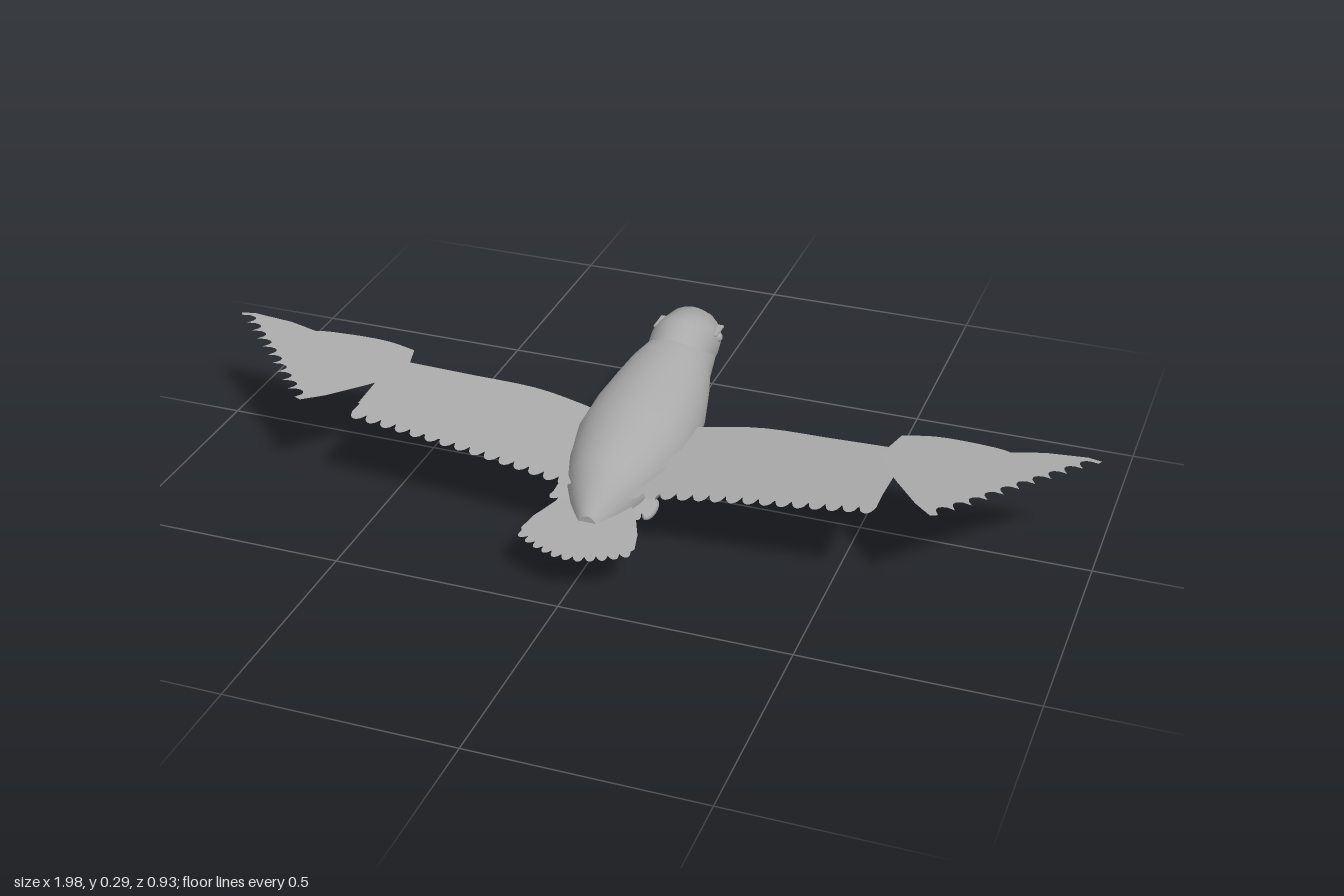
import * as THREE from 'three';

const plumage = new THREE.MeshStandardMaterial({ color: 0xaaaaaa, side: THREE.DoubleSide });
plumage.name = 'grey plumage';

function addMesh(parent, geometry, name) {
  const mesh = new THREE.Mesh(geometry, plumage);
  mesh.name = name;
  parent.add(mesh);
  return mesh;
}

// Skin over elliptical rings; each section is [topZ, topY, bottomZ, bottomY, halfWidth]
function loft(sections, sides = 32) {
  const pos = [], index = [];
  sections.forEach(([zt, yt, zb, yb, w], i) => {
    for (let j = 0; j < sides; j++) {
      const a = (j / sides) * Math.PI * 2, k = (1 - Math.cos(a)) / 2;
      pos.push(w * Math.sin(a), yt + (yb - yt) * k, zt + (zb - zt) * k);
      if (i < sections.length - 1) {
        const p = i * sides + j, q = i * sides + ((j + 1) % sides);
        index.push(p, q, p + sides, q, q + sides, p + sides);
      }
    }
  });
  const g = new THREE.BufferGeometry();
  g.setAttribute('position', new THREE.Float32BufferAttribute(pos, 3));
  g.setIndex(index);
  g.computeVertexNormals();
  return g;
}

// Thin sheet from an outline in x, z, raised by a height rule
function sheet(points, side, height) {
  const g = new THREE.ShapeGeometry(new THREE.Shape(points.map(([x, z]) => new THREE.Vector2(x * side, -z))));
  const p = g.attributes.position;
  for (let i = 0; i < p.count; i++) {
    const x = p.getX(i), z = -p.getY(i);
    p.setXYZ(i, x, height(Math.abs(x), z), z);
  }
  g.computeVertexNormals();
  return g;
}

function smooth(points, n) {
  return new THREE.SplineCurve(points.map(([x, z]) => new THREE.Vector2(x, z))).getSpacedPoints(n).map(v => [v.x, v.y]);
}

// Row of rounded feather tips along a curve, bulging to its right-hand side in x, z
function feathers(points, count, depth, lean = 0) {
  const base = smooth(points, count), out = [];
  for (let i = 0; i < count; i++) {
    const [ax, az] = base[i], [bx, bz] = base[i + 1];
    const dx = bx - ax, dz = bz - az, l = Math.hypot(dx, dz);
    for (let s = 0; s < 6; s++) {
      const t = s / 6, b = depth * Math.pow(Math.sin(Math.PI * t), 0.6), u = t + lean * Math.sin(Math.PI * t);
      out.push([ax + dx * u - (dz / l) * b, az + dz * u + (dx / l) * b]);
    }
  }
  out.push(base[count]);
  return out;
}

function wing(side) {
  const g = new THREE.Group();
  g.name = side > 0 ? 'leftWing' : 'rightWing';
  const innerY = x => 0.148 + (x - 0.1) * 0.104;
  const outerY = x => 0.203 + (x - 0.55) * 0.084;

  // Inner panel: flight feathers under a layer of coverts
  addMesh(g, sheet([
    [0.58, -0.02], [0.27, -0.05], [0.06, -0.01],
    ...feathers([[0.06, 0.25], [0.16, 0.24], [0.3, 0.23], [0.46, 0.225], [0.585, 0.22]], 15, 0.026)
  ], side, innerY), 'secondaryFeathers');
  addMesh(g, sheet([
    ...smooth([[0.06, -0.01], [0.16, -0.035], [0.27, -0.05], [0.42, -0.035], [0.57, -0.02]], 12),
    [0.59, 0.08], [0.585, 0.19],
    ...smooth([[0.55, 0.2], [0.45, 0.238], [0.25, 0.238], [0.13, 0.17], [0.06, 0.14]], 14)
  ], side, (x, z) => innerY(x) + 0.004 + Math.max(0, 0.6 - x) * 0.018), 'secondaryCoverts');

  // Outer panel: fan of long feathers with a rounded covert on top
  addMesh(g, sheet([
    [0.55, 0.045], [0.6, -0.03], [0.8, -0.045], [0.87, -0.058], [0.96, -0.056], [0.99, -0.045],
    ...feathers([[0.985, -0.035], [0.91, 0.04], [0.84, 0.11], [0.775, 0.18], [0.715, 0.235]], 10, 0.026, 0.1),
    [0.7, 0.24], [0.66, 0.2], [0.6, 0.12]
  ], side, outerY), 'primaryFeathers');
  addMesh(g, sheet([
    [0.54, 0.035],
    ...smooth([[0.565, -0.06], [0.64, -0.07], [0.74, -0.055], [0.81, -0.03], [0.84, 0.03], [0.83, 0.085],
      [0.77, 0.11], [0.7, 0.1], [0.61, 0.065], [0.545, 0.04]], 30)
  ], side, (x) => outerY(x) + 0.006), 'primaryCoverts');
  return g;
}

export function createModel() {
  const bird = new THREE.Group();
  bird.name = 'bird';

  // Torso with a flat rear end
  addMesh(bird, loft([
    [0.33, 0.09, 0.33, 0.09, 0], [0.33, 0.118, 0.33, 0.062, 0.022], [0.33, 0.118, 0.33, 0.062, 0.022],
    [0.28, 0.168, 0.28, 0.052, 0.056], [0.23, 0.205, 0.23, 0.045, 0.083], [0.16, 0.227, 0.16, 0.033, 0.105],
    [0.07, 0.25, 0.07, 0.018, 0.124], [-0.02, 0.259, -0.02, 0.026, 0.124], [-0.105, 0.266, -0.105, 0.037, 0.114],
    [-0.17, 0.27, -0.17, 0.075, 0.1], [-0.225, 0.268, -0.225, 0.105, 0.084],
    [-0.31, 0.255, -0.31, 0.137, 0.07], [-0.37, 0.225, -0.37, 0.151, 0.05], [-0.39, 0.19, -0.39, 0.18, 0]
  ]), 'body');

  // Head, set over the front of the torso
  addMesh(bird, loft([
    [-0.195, 0.27, -0.27, 0.14, 0.07], [-0.25, 0.295, -0.295, 0.135, 0.074], [-0.3, 0.287, -0.325, 0.14, 0.075],
    [-0.35, 0.279, -0.355, 0.148, 0.068], [-0.395, 0.232, -0.395, 0.157, 0.046],
    [-0.395, 0.232, -0.395, 0.157, 0.046], [-0.395, 0.195, -0.395, 0.195, 0]
  ]), 'head');

  // Hooked beak
  addMesh(bird, loft([
    [-0.385, 0.236, -0.385, 0.158, 0.036], [-0.42, 0.231, -0.424, 0.154, 0.031], [-0.455, 0.213, -0.444, 0.146, 0.023],
    [-0.462, 0.18, -0.452, 0.139, 0.016], [-0.467, 0.148, -0.456, 0.13, 0.009], [-0.467, 0.124, -0.465, 0.122, 0.002]
  ], 20), 'beak');

  for (const side of [1, -1]) {
    bird.add(wing(side));

    const eye = addMesh(bird, new THREE.SphereGeometry(0.012, 16, 12), 'eye');
    eye.position.set(side * 0.069, 0.23, -0.318);

    const brow = addMesh(bird, new THREE.BoxGeometry(0.018, 0.004, 0.054), 'brow');
    brow.position.set(side * 0.066, 0.244, -0.32);

    const foot = addMesh(bird, new THREE.SphereGeometry(1, 20, 14), 'foot');
    foot.scale.set(0.014, 0.014, 0.04);
    foot.position.set(side * 0.06, 0.016, 0.105);

    // Short feathers along the rump
    addMesh(bird, sheet([
      [0.03, 0.12], [0.03, 0.29], ...feathers([[0.03, 0.285], [0.075, 0.27], [0.11, 0.24]], 4, 0.015), [0.1, 0.12]
    ], side, (x, z) => 0.09 + (0.3 - z) * 0.27), 'rumpFeathers');
  }

  // Fanned tail
  addMesh(bird, sheet([
    [0.04, 0.22], [-0.04, 0.22], [-0.085, 0.27], [-0.115, 0.34], [-0.125, 0.385],
    ...feathers([[-0.12, 0.395], [-0.07, 0.425], [0, 0.445], [0.07, 0.425], [0.12, 0.395]], 11, 0.016),
    [0.125, 0.385], [0.115, 0.34], [0.085, 0.27]
  ], 1, (x, z) => 0.09 + (0.46 - z) * 0.105), 'tail');

  return bird;
}
